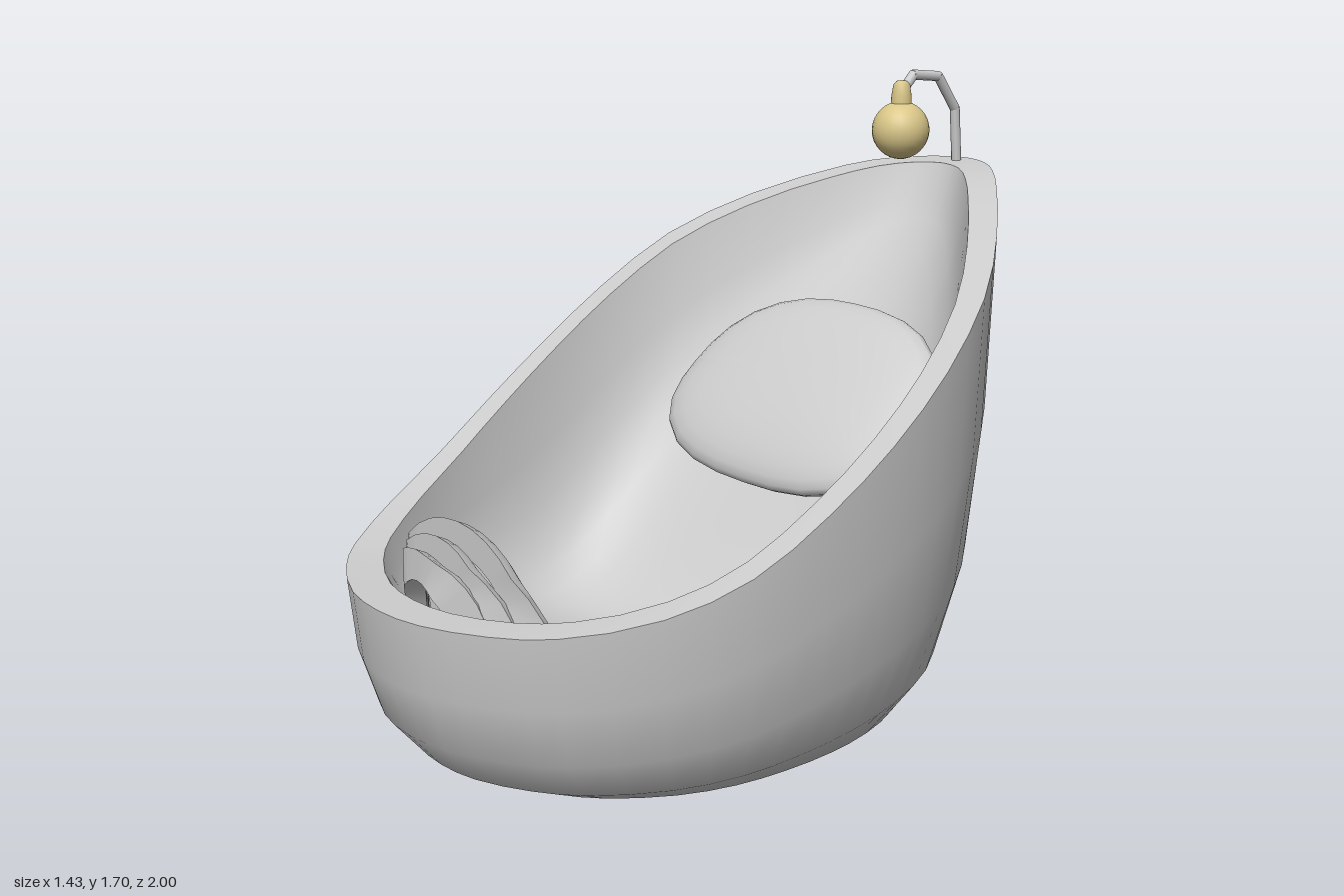
import * as THREE from 'three';
import { toCreasedNormals } from 'three/addons/utils/BufferGeometryUtils.js';

// Skin rows of points; closed rows wrap round
function loft(rows, closed) {
  const n = rows[0].length, index = [];
  for (let i = 0; i < rows.length - 1; i++) {
    for (let j = 0; j < (closed ? n : n - 1); j++) {
      const k = (j + 1) % n;
      const a = i * n + j, b = i * n + k, c = a + n, d = b + n;
      index.push(c, d, b, c, b, a);
    }
  }
  const geo = new THREE.BufferGeometry();
  geo.setAttribute('position', new THREE.Float32BufferAttribute(rows.flat(2), 3));
  geo.setIndex(index);
  geo.computeVertexNormals();
  return geo;
}

// Smooth curve through (key, value) pairs with rising keys
function sample(pairs, x) {
  let i = 0;
  while (i < pairs.length - 2 && x > pairs[i + 1][0]) i++;
  const [x0, y0] = pairs[i], [x1, y1] = pairs[i + 1];
  const p = pairs[i - 1] || pairs[i], q = pairs[i + 2] || pairs[i + 1];
  const h = x1 - x0, t = (x - x0) / h;
  const m0 = (y1 - p[1]) / (x1 - p[0]) * h, m1 = (q[1] - y0) / (q[0] - x0) * h;
  return y0 * (2 * t ** 3 - 3 * t * t + 1) + m0 * (t ** 3 - 2 * t * t + t)
    + y1 * (3 * t * t - 2 * t ** 3) + m1 * (t ** 3 - t * t);
}

const rimHeight = [[-1, 1.435], [-0.9, 1.425], [-0.8, 1.4], [-0.6, 1.315], [-0.4, 1.2], [-0.2, 1.055],
  [0, 0.91], [0.2, 0.775], [0.4, 0.655], [0.6, 0.58], [0.8, 0.54], [1, 0.53]];

// Plan outline, pointed at the back and elliptical at the front
function planOutline() {
  const half = [[0, 1], [0.15, 0.98], [0.32, 0.9], [0.445, 0.8], [0.59, 0.6], [0.67, 0.4], [0.707, 0.2],
    [0.717, 0], [0.695, -0.2], [0.625, -0.4], [0.48, -0.6], [0.295, -0.8], [0.19, -0.9], [0.09, -0.975], [0, -1]];
  const loop = half.concat(half.slice(1, -1).reverse().map(([x, z]) => [-x, z]));
  const curve = new THREE.CatmullRomCurve3(loop.map(([x, z]) => new THREE.Vector3(x, 0, z)), true);
  return curve.getPoints(56).slice(0, 56);
}

// Inner floor: reclined back, gently rising foot
const soft = (v) => 0.1 * Math.log(1 + Math.exp(v / 0.1));
const floorHeight = (z) => 0.14 + 1.14 * soft(0.07 - z) + 0.34 * soft(z - 0.07);

export function createModel() {
  const model = new THREE.Group();
  const body = new THREE.MeshStandardMaterial({ color: 0xcccccc });
  body.name = 'light grey';
  const gold = new THREE.MeshStandardMaterial({ color: 0xd9c688 });
  gold.name = 'pale gold';
  const add = (name, geo, material, parent = model) => {
    const mesh = new THREE.Mesh(geo, material);
    mesh.name = name;
    parent.add(mesh);
    return mesh;
  };

  // Tub: interior, rim and outer shell
  const outline = planOutline();
  const rimY = (z) => sample(rimHeight, THREE.MathUtils.clamp(z, -1, 1));
  const outerRing = ([s, t]) => outline.map((p) => [p.x * s, rimY(p.z) * t, p.z * s]);
  const innerRing = ([s, t]) => outline.map((p) => {
    const x = p.x * s * 0.9, z = p.z * s * 0.9, top = rimY(p.z * 0.92);
    const low = Math.min(floorHeight(z), top - 0.01);
    return [x, low + (top - low) * t, z];
  });
  const innerProfile = [[0, 0], [0.08, 0], [0.16, 0], [0.26, 0], [0.38, 0], [0.5, 0.005], [0.62, 0.025],
    [0.72, 0.065], [0.8, 0.13], [0.87, 0.24], [0.93, 0.4], [0.97, 0.63], [1, 1]];
  const outerProfile = [[1, 1], [0.98, 0.65], [0.93, 0.36], [0.84, 0.16], [0.72, 0.055], [0.57, 0.013],
    [0.3, 0], [0, 0]];
  add('tubInterior', loft(innerProfile.map(innerRing), true), body);
  add('tubRim', loft([innerRing([1, 1]), outerRing([1, 1])], true), body);
  add('tubShell', loft(outerProfile.map(outerRing), true), body);

  // Pillow: flattened rounded cushion leaning on the back, wider at its lower edge
  const pillowGeo = new THREE.SphereGeometry(1, 28, 14);
  const pos = pillowGeo.attributes.position;
  for (let i = 0; i < pos.count; i++) {
    const x = pos.getX(i), y = pos.getY(i), z = pos.getZ(i), r = Math.hypot(x, z);
    if (r < 1e-5) { pos.setXYZ(i, 0, y * 0.075, 0); continue; }
    const cx = x / r, cz = z / r;
    const k = (Math.abs(cx) ** 2.5 + Math.abs(cz) ** 2.5) ** (-1 / 2.5) * r ** 0.8;
    pos.setXYZ(i, cx * k * 0.455 * (1 + 0.1 * cz), y * 0.075, cz * k * 0.305);
  }
  pillowGeo.computeVertexNormals();
  const pillow = add('pillow', pillowGeo, body);
  pillow.rotation.x = Math.PI / 4;
  pillow.position.set(0, 0.84, -0.365);

  // Three nested arched ridges at the foot, swept back at their sides
  const ridges = new THREE.Group();
  ridges.name = 'footRidges';
  model.add(ridges);
  [[0.89, 0.19, 0.66], [0.83, 0.25, 0.68], [0.77, 0.32, 0.705]].forEach(([front, width, top], i) => {
    const base = 0.38, section = [[0, 0.08], [0, 0], [0.03, 0.015], [0.06, 0.055], [0.06, 0.08], [0, 0.08]];
    const rows = section.map(([back, inset]) => Array.from({ length: 17 }, (_, j) => {
      const a = j / 16 * Math.PI, x = Math.cos(a) * (width - inset);
      const swept = Math.min(front, 0.89 - 0.69 * Math.max(0, Math.abs(x) - 0.06));
      return [x, base + Math.sin(a) ** 0.9 * (top - base - inset), Math.max(0.7, swept - back)];
    }));
    add('footRidge' + (i + 1), toCreasedNormals(loft(rows, false), 0.6), body, ridges);
  });

  // Bent hanger arm rising from the back tip
  const arm = new THREE.Group();
  arm.name = 'hangerArm';
  model.add(arm);
  const bends = [[1.41, -0.957], [1.58, -0.942], [1.675, -0.87], [1.685, -0.77], [1.64, -0.725]]
    .map(([y, z]) => new THREE.Vector3(0, y, z));
  for (let i = 0; i < bends.length - 1; i++) {
    const dir = bends[i + 1].clone().sub(bends[i]);
    const rod = add('armRod' + (i + 1), new THREE.CylinderGeometry(0.014, 0.014, dir.length() + 0.008, 8), body, arm);
    rod.position.copy(bends[i]).addScaledVector(dir, 0.5);
    rod.quaternion.setFromUnitVectors(new THREE.Vector3(0, 1, 0), dir.normalize());
  }

  // Hanging ball and its neck
  add('hangingBall', new THREE.SphereGeometry(0.08, 24, 16), gold).position.set(0, 1.535, -0.725);
  const neck = [[0.029, 0], [0.028, 0.03], [0.023, 0.06], [0.015, 0.07], [0, 0.073]]
    .map(([r, y]) => new THREE.Vector2(r, y));
  add('ballNeck', new THREE.LatheGeometry(neck, 16), gold).position.set(0, 1.6, -0.725);
  return model;
}
